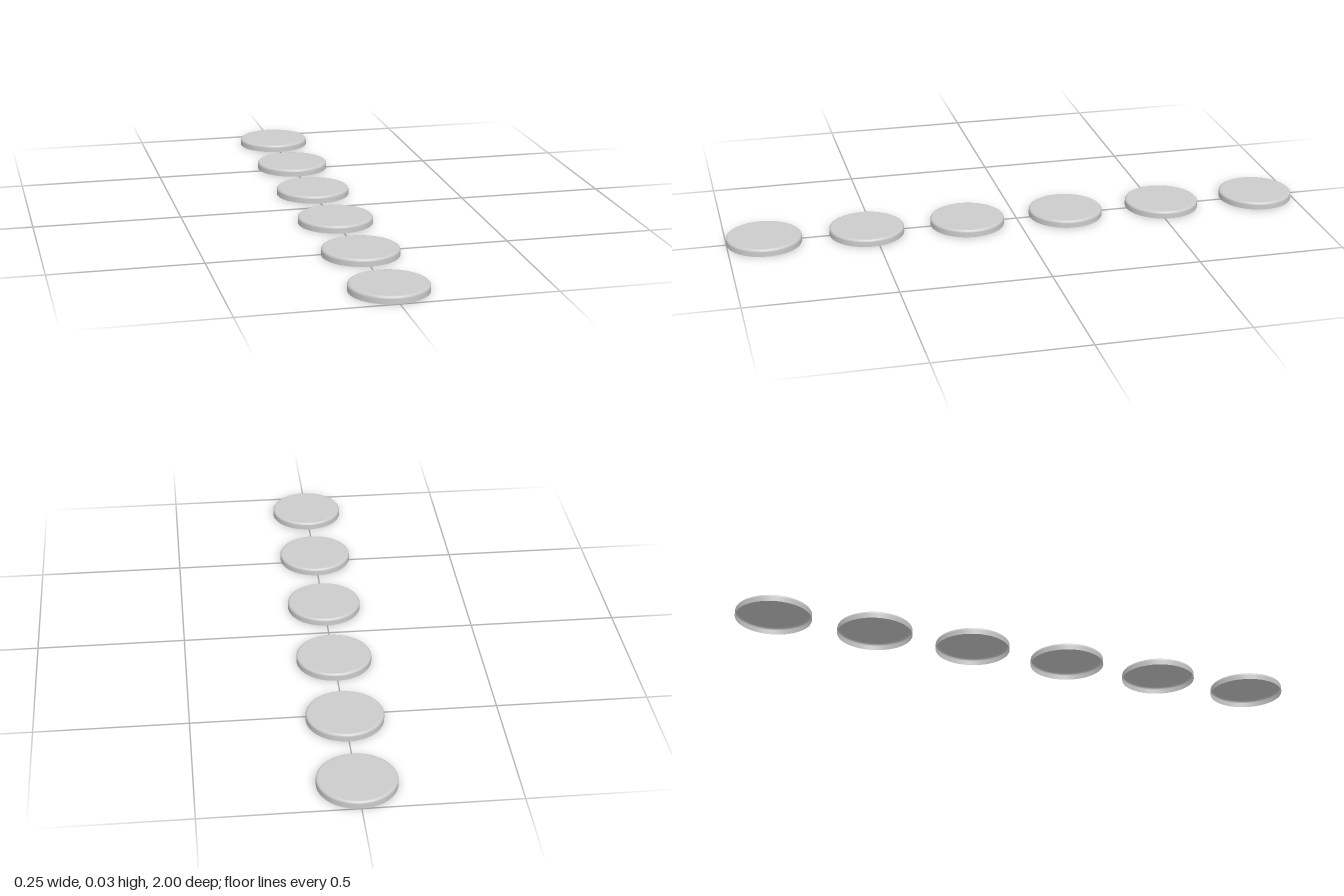
import * as THREE from 'three';

const COUNT = 6, RADIUS = 0.127, HEIGHT = 0.025, BEVEL = 0.008;
const SPACING = (2 - 2 * RADIUS) / (COUNT - 1);

export function createModel() {
  const model = new THREE.Group();
  model.name = 'discRow';
  const material = new THREE.MeshStandardMaterial({ color: 0xcccccc, side: THREE.DoubleSide });

  // Side wall with a rounded upper edge, open underneath
  const profile = [new THREE.Vector2(RADIUS, 0), new THREE.Vector2(RADIUS, HEIGHT - BEVEL - 0.001)];
  for (let i = 0; i <= 4; i++) {
    const a = (i / 4) * Math.PI / 2;
    profile.push(new THREE.Vector2(
      RADIUS - BEVEL + BEVEL * Math.cos(a),
      HEIGHT - BEVEL + BEVEL * Math.sin(a)));
  }
  const wallGeometry = new THREE.LatheGeometry(profile, 64);

  // Flat top, sharing the inner edge of the rounding
  const topGeometry = new THREE.CircleGeometry(RADIUS - BEVEL, 64);
  topGeometry.rotateX(-Math.PI / 2).translate(0, HEIGHT, 0);

  // Row of identical discs from back to front
  for (let i = 0; i < COUNT; i++) {
    const disc = new THREE.Group();
    disc.name = `disc${i + 1}`;
    const wall = new THREE.Mesh(wallGeometry, material);
    wall.name = 'roundedWall';
    const top = new THREE.Mesh(topGeometry, material);
    top.name = 'flatTop';
    disc.add(wall, top);
    disc.position.z = (i - (COUNT - 1) / 2) * SPACING;
    model.add(disc);
  }
  return model;
}
